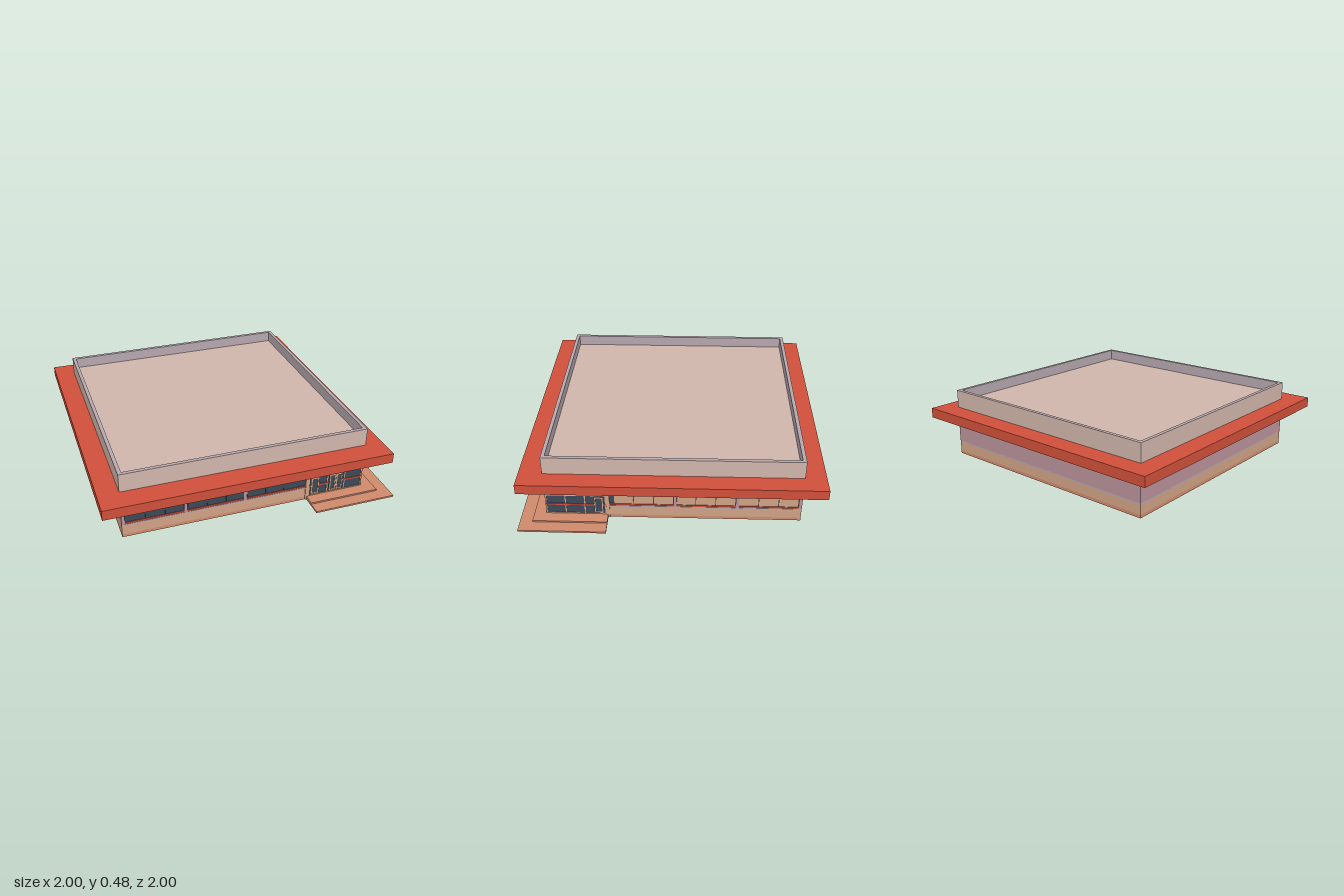
import * as THREE from 'three';

const mat = (name, color) => new THREE.MeshStandardMaterial({ name, color });

export function createModel() {
  const red = mat('red', 0xcf4f3a);
  const tan = mat('tan', 0xcfa284);
  const salmon = mat('salmon', 0xcf8a6c);
  const mauve = mat('mauve', 0xb99199);
  const lilac = mat('lilac grey', 0xb5a7ae);
  const roofMat = mat('pale roof', 0xd0b5ab);
  const glass = mat('dark glass', 0x3c4858);
  const slate = mat('slate soffit', 0x4c626a);

  const model = new THREE.Group();
  model.name = 'cornerPavilion';
  const LO = -0.86, HI = 0.835, EAVE = 0.285;

  const box = (parent, name, m, x0, x1, y0, y1, z0, z1) => {
    const mesh = new THREE.Mesh(new THREE.BoxGeometry(x1 - x0, y1 - y0, z1 - z0), m);
    mesh.position.set((x0 + x1) / 2, (y0 + y1) / 2, (z0 + z1) / 2);
    mesh.name = name;
    parent.add(mesh);
  };
  const group = (name) => {
    const g = new THREE.Group();
    g.name = name;
    model.add(g);
    return g;
  };
  // Box on a wall: u runs along it, d across it; alongZ swaps the two axes
  const wallBox = (g, alongZ) => (name, m, u0, u1, y0, y1, d0, d1) =>
    alongZ ? box(g, name, m, d0, d1, y0, y1, u0, u1) : box(g, name, m, u0, u1, y0, y1, d0, d1);

  // Eave slab with a dark underside
  box(model, 'eaveSlab', [red, red, red, slate, red, red], -1, 0.96, EAVE, 0.355, -1, 0.99);

  // Roof deck and parapet, lilac on the top and the inner face
  const P = 0.025, TOP = 0.482;
  box(model, 'roofDeck', roofMat, LO + P, HI - P, 0.355, 0.405, LO + P, HI - P);
  const parapet = group('parapet');
  const faces = (inner) => [0, 1, 2, 3, 4, 5].map((i) => (i === 2 || i === inner ? lilac : roofMat));
  box(parapet, 'parapetLeft', faces(1), HI - P, HI, 0.355, TOP, LO, HI);
  box(parapet, 'parapetRight', faces(0), LO, LO + P, 0.355, TOP, LO, HI);
  box(parapet, 'parapetFront', faces(5), LO + P, HI - P, 0.355, TOP, HI - P, HI);
  box(parapet, 'parapetBack', faces(4), LO + P, HI - P, 0.355, TOP, LO, LO + P);

  // Plinth, base and ledge shared by every wall
  const base = (b, u1, d0, d1) => {
    b('plinth', salmon, LO, u1, 0, 0.022, d0, d1);
    b('baseWall', tan, LO, u1, 0.022, 0.088, d0, d1);
    b('ledge', lilac, LO, u1, 0.088, 0.098, d0, d1);
  };

  // Plain back and side walls
  for (const alongZ of [false, true]) {
    const b = wallBox(group(alongZ ? 'sideWall' : 'backWall'), alongZ);
    base(b, HI, LO, LO + 0.01);
    b('upperWall', mauve, LO, HI, 0.098, EAVE, LO, LO + 0.01);
  }

  // Two window walls meeting at the glazed corner entrance
  for (const alongZ of [false, true]) {
    const b = wallBox(group(alongZ ? 'panelWall' : 'windowWall'), alongZ);
    const d = HI - 0.01;
    base(b, 0.42, d, HI);
    b('windowBacking', glass, LO, 0.41, 0.098, EAVE, d, HI - 0.006);
    b('sill', red, LO, 0.41, 0.1, 0.112, d, HI);
    for (const start of [-0.86, -0.447, -0.037]) {
      b('pilaster', mauve, start, start + 0.022, 0.098, EAVE, d, HI + 0.002);
      const w = 0.131;
      for (let i = 0; i < 3; i++) {
        const u = start + 0.025 + i * w;
        b('windowPane', alongZ ? tan : glass, u, u + w - 0.005, 0.114, EAVE - 0.004, d, HI - 0.002);
      }
    }

    // Entrance glazing with its posts and rails
    const e = wallBox(group(alongZ ? 'entranceSide' : 'entranceFront'), alongZ);
    e('entranceGlass', glass, 0.42, HI - 0.004, 0.022, EAVE, d, HI - 0.004);
    e('cornerPost', tan, 0.408, 0.43, 0, EAVE, d, HI + 0.006);
    for (const u of [0.435, 0.572, 0.7, 0.831]) e('mullion', tan, u - 0.004, u + 0.004, 0.022, EAVE, d, HI);
    e('topRail', tan, 0.43, HI, 0.262, 0.274, d, HI);
    e('headRail', roofMat, 0.43, HI, 0.175, 0.193, d, HI + 0.002);
    e('bottomRail', tan, 0.43, HI, 0.02, 0.028, d, HI);
    e('redRail', red, 0.43, HI, 0.095, 0.106, d, HI + 0.001);

    // Framed doors
    const doors = alongZ ? [[0.449, 0.51]] : [[0.449, 0.509], [0.586, 0.634], [0.636, 0.684]];
    for (const [u0, u1] of doors) {
      const t = 0.009, f = HI + 0.004;
      e('doorGlass', glass, u0, u1, 0.035, 0.168, HI - 0.004, HI + 0.002);
      e('doorStile', tan, u0, u0 + t, 0.035, 0.168, HI - 0.004, f);
      e('doorStile', tan, u1 - t, u1, 0.035, 0.168, HI - 0.004, f);
      e('doorRail', tan, u0, u1, 0.035, 0.046, HI - 0.004, f);
      e('doorRail', tan, u0, u1, 0.157, 0.168, HI - 0.004, f);
    }
  }

  // L-shaped steps wrapping the entrance corner
  const steps = group('entranceSteps');
  [[1, 0, 0.012], [0.915, 0.012, 0.023]].forEach(([r, y0, y1]) => {
    box(steps, 'stepFront', salmon, 0.42, r, y0, y1, HI - 0.012, r);
    box(steps, 'stepSide', salmon, HI - 0.012, r, y0, y1, 0.42, HI - 0.012);
  });

  return model;
}
